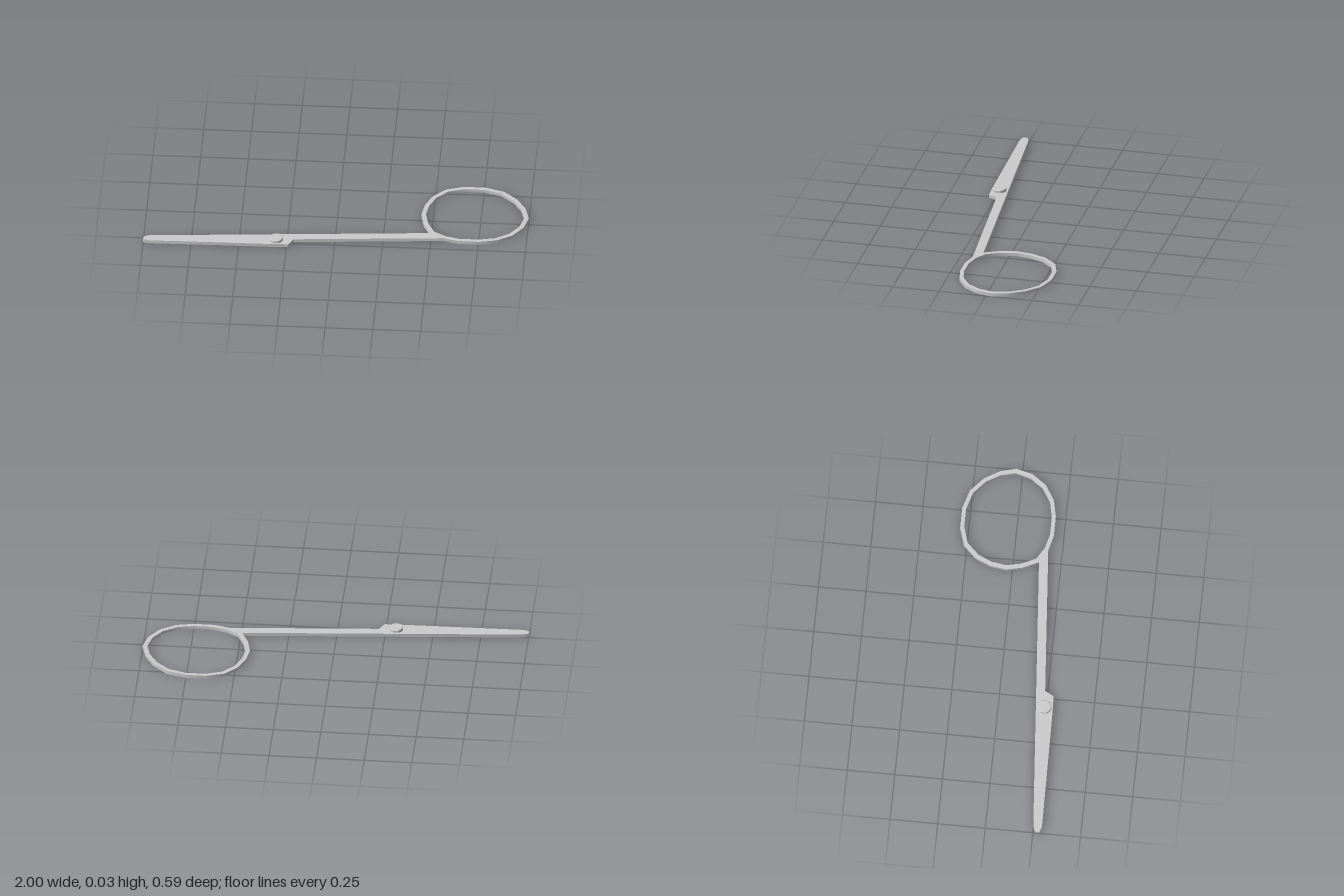
import * as THREE from 'three';
import { toCreasedNormals } from 'three/addons/utils/BufferGeometryUtils.js';

const THICK = 0.018;
const material = new THREE.MeshStandardMaterial({ color: 0xcccccc });

// plan points are [x, z]; the shape is extruded upwards
const toVectors = (points) => points.map(([x, z]) => new THREE.Vector2(x, -z));

function addPart(group, geometry, name) {
  const mesh = new THREE.Mesh(toCreasedNormals(geometry, 0.6), material);
  mesh.name = name;
  group.add(mesh);
  return mesh;
}

export function createModel() {
  const group = new THREE.Group();
  group.name = 'scissorHalf';

  // finger ring, from the arm's back edge round to its front edge
  const ring = [
    [0.494, 0.134], [0.455, 0.053], [0.437, -0.033], [0.45, -0.118], [0.485, -0.198],
    [0.55, -0.265], [0.645, -0.295], [0.755, -0.295], [0.855, -0.265], [0.93, -0.198],
    [0.978, -0.118], [1.0, -0.033], [0.978, 0.053], [0.925, 0.128], [0.845, 0.178],
    [0.755, 0.197], [0.645, 0.197], [0.564, 0.176],
  ];
  // arm, pivot shoulder and blunt blade tip
  const blade = [
    [-0.215, 0.237], [-0.24, 0.284], [-0.33, 0.287], [-0.97, 0.295],
    [-1.0, 0.285], [-1.0, 0.262], [-0.97, 0.249],
  ];
  const outline = new THREE.Shape(toVectors([...ring, ...blade]));

  // finger hole, wound against the outline so its wall faces inwards
  const cx = 0.718, cz = -0.049, inset = 0.915;
  const hole = ring.map(([x, z]) => [cx + (x - cx) * inset, cz + (z - cz) * inset]);
  outline.holes.push(new THREE.Path(toVectors(hole.reverse())));

  const body = new THREE.ExtrudeGeometry(outline, { depth: THICK, bevelEnabled: false });
  addPart(group, body.rotateX(-Math.PI / 2), 'bladeAndHandle');

  // pivot screw: low round head with a softened rim
  const profile = [[0.036, 0.016], [0.036, 0.03], [0.033, 0.033], [0, 0.033]];
  const head = new THREE.LatheGeometry(profile.map(([r, y]) => new THREE.Vector2(r, y)), 24);
  addPart(group, head, 'pivotScrew').position.set(-0.306, 0, 0.243);
  return group;
}
